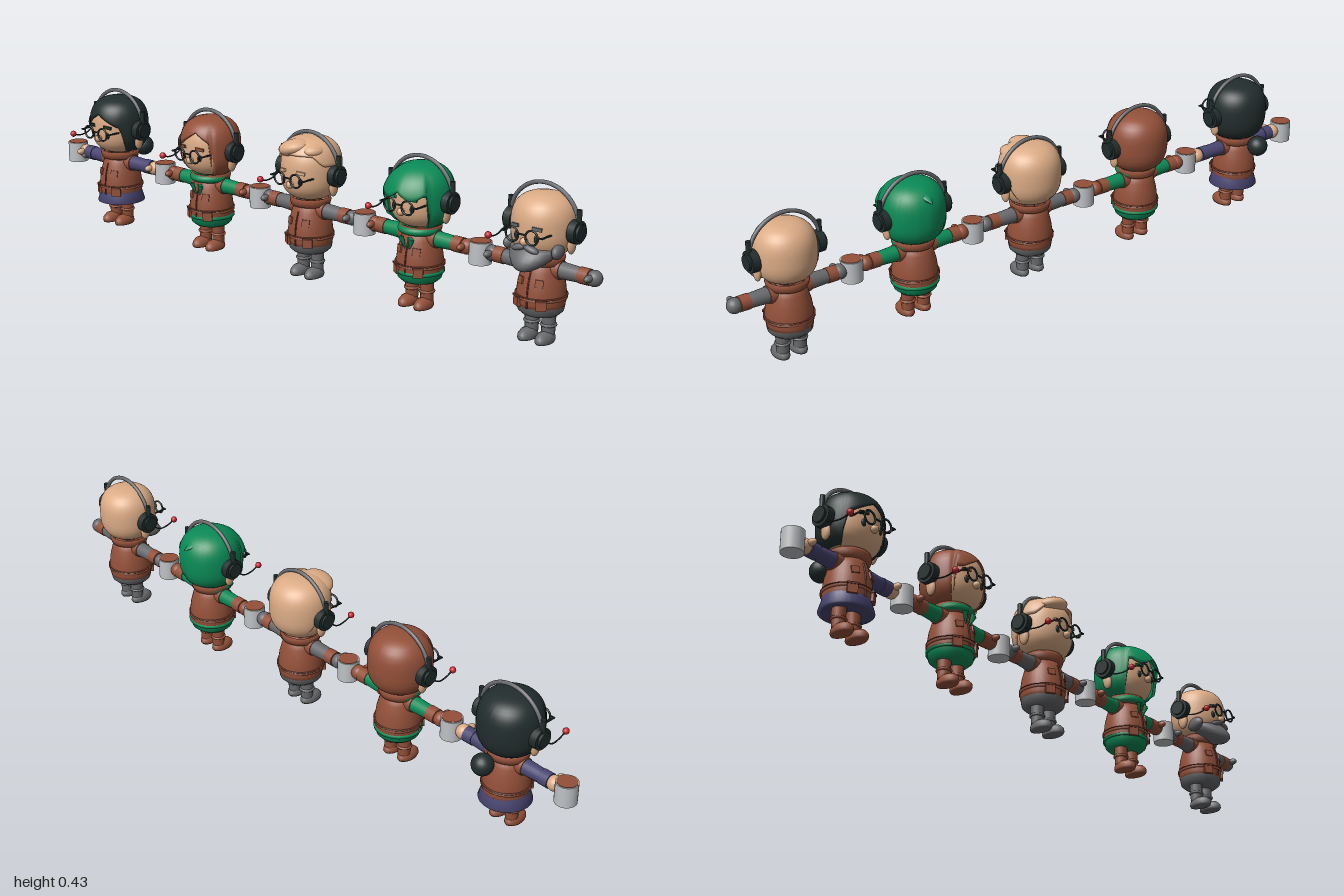
import * as THREE from 'three';

const mat = (name, color, side = THREE.FrontSide) => {
  const m = new THREE.MeshStandardMaterial({ color, side });
  m.name = name;
  return m;
};

// Head is a rounded barrel (superellipsoid) shared by the skull and the hair shells
const HEAD = { y: 0.316, r: 0.0865, h: 0.085, n: 2.7 };
const power = (v, p) => Math.sign(v) * Math.abs(v) ** p;

// Shell over the head; each meridian ends at the height given by edge(angle), angle 0 = front
function headShell(grow, edge, bulge = () => 0, lift = 0) {
  const cols = 64, rows = 18, pos = [], idx = [];
  const cy = HEAD.y + lift, H = HEAD.h + grow, p = 2 / HEAD.n;
  for (let j = 0; j <= rows; j++) {
    for (let i = 0; i <= cols; i++) {
      const a = (i / cols) * Math.PI * 2 - Math.PI;
      const d = THREE.MathUtils.clamp((edge(a) - cy) / H, -1, 1);
      const end = Math.acos(power(d, 1 / p));
      const t = Math.min(j, rows - 1) / (rows - 1);
      const f = end * t;
      const rim = j === rows ? grow + 0.004 : 0; // last row folds back to the skull
      const r = (HEAD.r + grow + bulge(a) * t * t - rim) * Math.abs(Math.sin(f)) ** p;
      pos.push(r * Math.sin(a), cy + H * power(Math.cos(f), p), r * Math.cos(a));
      if (i < cols && j < rows) {
        const k = j * (cols + 1) + i, l = k + cols + 1;
        idx.push(k, l, k + 1, k + 1, l, l + 1);
      }
    }
  }
  const g = new THREE.BufferGeometry();
  g.setAttribute('position', new THREE.Float32BufferAttribute(pos, 3));
  g.setIndex(idx);
  g.computeVertexNormals();
  return g;
}

const lathe = (pts, seg = 32) => new THREE.LatheGeometry(pts.map(([x, y]) => new THREE.Vector2(x, y)), seg);
const ball = (r) => new THREE.SphereGeometry(r, 20, 14);
const tube = (pts, r) => new THREE.TubeGeometry(
  new THREE.CatmullRomCurve3(pts.map((p) => new THREE.Vector3(...p))), 20, r, 8);

function rod(x0, x1, r0, r1) { // tapered cylinder along x
  const g = new THREE.CylinderGeometry(r1, r0, x1 - x0, 20);
  return g.rotateZ(-Math.PI / 2).translate((x0 + x1) / 2, 0, 0);
}

export function createModel() {
  const skin = mat('skin', 0xdcac86, THREE.DoubleSide);
  const dark = mat('charcoal', 0x222d2d, THREE.DoubleSide);
  const brown = mat('leather brown', 0x935039, THREE.DoubleSide);
  const green = mat('green', 0x0a8a56, THREE.DoubleSide);
  const purple = mat('purple', 0x4a4672, THREE.DoubleSide);
  const grey = mat('grey', 0x68696c, THREE.DoubleSide);
  const pale = mat('mug grey', 0xbfc2c5);
  const red = mat('red', 0xc8242e);
  const trim = mat('dark brown', 0x6a3527);

  const step = (a, lo, hi) => THREE.MathUtils.smoothstep(Math.abs(a), lo, hi);
  const figures = [
    { x: -0.772, hair: dark, shirt: purple, boots: brown, cuff: purple, glove: skin, skirt: true, bun: true,
      edge: (a) => 0.362 - 0.035 * Math.min(1, Math.abs(a) / 0.7) - 0.085 * step(a, 0.75, 1.15) },
    { x: -0.373, hair: brown, shirt: green, boots: brown, cuff: brown, glove: brown, scarf: true,
      edge: (a) => 0.372 - 0.04 * Math.min(1, Math.abs(a - 0.2) / 0.7) - 0.105 * step(a, 0.68, 0.85) },
    { x: 0.024, hair: skin, shirt: grey, boots: grey, cuff: brown, glove: grey, quiff: true,
      edge: (a) => 0.372 - 0.03 * step(a, 0.7, 1.2) - 0.08 * step(a, 1.5, 2.2) },
    { x: 0.422, hair: green, shirt: green, boots: brown, cuff: brown, glove: brown, scarf: true, spike: true,
      edge: (a) => 0.345 - 0.02 * Math.abs(Math.sin(a * 4)) - 0.1 * step(a, 0.75, 0.95),
      bulge: (a) => 0.014 * Math.max(0, Math.cos(a)) + 0.004 },
    { x: 0.82, shirt: grey, boots: grey, cuff: brown, glove: grey, beard: true },
  ];

  const model = new THREE.Group();
  model.name = 'crew';

  for (const f of figures) {
    const g = new THREE.Group();
    g.name = 'figure';
    g.position.set(f.x, 0, 0.012);
    model.add(g);
    const add = (name, geo, m, x = 0, y = 0, z = 0, s = [1, 1, 1]) => {
      const mesh = new THREE.Mesh(geo, m);
      mesh.name = name;
      mesh.position.set(x, y, z);
      mesh.scale.set(...s);
      g.add(mesh);
      return mesh;
    };

    // Legs and boots
    for (const s of [-1, 1]) {
      add('leg', new THREE.CylinderGeometry(0.02, 0.018, 0.07, 20), f.boots, s * 0.026, 0.055, 0);
      add('boot', lathe([[0, 0], [0.02, 0], [0.022, 0.006], [0.021, 0.016], [0.015, 0.026], [0, 0.031]], 24),
        f.boots, s * 0.027, 0, 0.015, [1, 1, 1.7]);
      add('bootCuff', new THREE.TorusGeometry(0.019, 0.004, 8, 24).rotateX(Math.PI / 2), f.boots, s * 0.026, 0.046, 0);
    }

    // Shirt hem or skirt below the vest
    add(f.skirt ? 'skirt' : 'shirtHem', lathe(f.skirt
      ? [[0, 0.082], [0.064, 0.072], [0.074, 0.073], [0.066, 0.1], [0.06, 0.13]]
      : [[0, 0.074], [0.05, 0.074], [0.061, 0.084], [0.064, 0.1]]), f.shirt);

    // Vest with hem band, zip, pockets and collar
    add('vest', lathe([[0.056, 0.098], [0.063, 0.096], [0.067, 0.11], [0.067, 0.135], [0.063, 0.165],
      [0.055, 0.195], [0.047, 0.215], [0.03, 0.225]]), brown, 0, 0, 0, [0.97, 1, 1]);
    add('hemBand', lathe([[0.066, 0.119], [0.0695, 0.12], [0.0695, 0.126], [0.066, 0.128]]), brown);
    add('hemSeam', lathe([[0.067, 0.126], [0.0698, 0.127], [0.0698, 0.129], [0.066, 0.13]]), trim);
    add('collar', lathe([[0.045, 0.21], [0.056, 0.214], [0.06, 0.228], [0.057, 0.238], [0.05, 0.232]]), brown);
    if (f.scarf) add('shirtStripe', lathe([[0.064, 0.1], [0.0685, 0.1], [0.0695, 0.107], [0.066, 0.109]]), f.shirt);
    add('zip', tube([[0, 0.1, 0.066], [0, 0.13, 0.067], [0, 0.165, 0.063], [0, 0.2, 0.053]], 0.0025), trim);
    for (const s of [-1, 1]) {
      const pocket = add('pocket', new THREE.BoxGeometry(0.028, 0.026, 0.01), brown, s * 0.037, 0.112, 0.056);
      pocket.rotation.y = s * 0.58;
      const flap = add('pocketFlap', new THREE.BoxGeometry(0.03, 0.006, 0.012), trim, s * 0.037, 0.126, 0.057);
      flap.rotation.y = s * 0.58;
      const chest = add('chestPocket', new THREE.BoxGeometry(0.022, 0.02, 0.007), brown, s * 0.028, 0.17, 0.054);
      chest.rotation.set(-0.2, s * 0.5, 0);
    }
    if (f.scarf) {
      add('scarf', new THREE.TorusGeometry(0.05, 0.011, 10, 28).rotateX(Math.PI / 2), green, 0, 0.224, 0.004);
      for (const s of [-1, 1]) {
        const end = add('scarfEnd', new THREE.ConeGeometry(0.012, 0.045, 4), green, s * 0.011, 0.188, 0.061, [1, 1, 0.5]);
        end.rotation.set(Math.PI + 0.2, 0, s * 0.3);
      }
    }

    // Outstretched arms and mitten hands
    for (const s of [-1, 1]) {
      const arm = new THREE.Group();
      arm.name = 'arm';
      arm.position.y = 0.201;
      arm.rotation.y = s < 0 ? Math.PI : 0;
      const part = (name, geo, m) => {
        const mesh = new THREE.Mesh(geo, m);
        mesh.name = name;
        arm.add(mesh);
        return mesh;
      };
      part('sleeve', rod(0.035, 0.12, 0.024, 0.02), f.shirt);
      part('armhole', rod(0.04, 0.062, 0.027, 0.025), brown);
      part('cuff', rod(0.116, 0.146, 0.022, 0.022), f.cuff);
      part('hand', ball(0.022), f.glove).position.x = 0.158;
      const thumb = part('thumb', ball(0.011), f.glove);
      thumb.position.set(0.155, 0.004, s * 0.024);
      thumb.scale.set(0.9, 0.9, 1.5);
      g.add(arm);
    }

    // Mug held in the right hand
    add('mug', new THREE.CylinderGeometry(0.031, 0.031, 0.062, 28), pale, -0.197, 0.196, 0);
    add('drink', new THREE.CylinderGeometry(0.028, 0.028, 0.003, 28), brown, -0.197, 0.227, 0);
    add('mugHandle', new THREE.TorusGeometry(0.017, 0.004, 8, 20), pale, -0.17, 0.196, 0);

    // Head and face
    add('head', headShell(0, () => 0.2), skin);
    add('nose', ball(0.011), skin, 0, 0.287, 0.089);
    for (const s of [-1, 1]) {
      add('eye', ball(0.009), dark, s * 0.03, 0.297, 0.079, [0.8, 1.25, 0.5]);
      add('ear', ball(0.02), skin, s * 0.086, 0.278, 0, [0.5, 1.4, 0.8]);
      const brow = add('eyebrow', new THREE.BoxGeometry(0.026, 0.009, 0.012), f.beard ? grey : f.hair, s * 0.032, 0.324, 0.079);
      brow.rotation.set(0, s * 0.35, -s * 0.12);

      // Glasses
      add('glassesRim', new THREE.TorusGeometry(0.019, 0.0028, 8, 28), dark, s * 0.03, 0.305, 0.1);
      add('glassesTemple', new THREE.BoxGeometry(0.004, 0.004, 0.075), dark, s * 0.061, 0.309, 0.064);
      add('glassesHinge', new THREE.BoxGeometry(0.015, 0.004, 0.004), dark, s * 0.056, 0.309, 0.1);

      // Headphone cups
      add('earCup', rod(-0.011, 0.011, 0.031, 0.031), dark, s * 0.098, 0.312, 0);
      add('earCupCap', rod(-0.004, 0.004, 0.022, 0.022), dark, s * 0.112, 0.312, 0);
      add('bandSlider', new THREE.CylinderGeometry(0.007, 0.007, 0.04, 12), dark, s * 0.105, 0.352, 0);
    }
    add('glassesBridge', new THREE.BoxGeometry(0.022, 0.004, 0.004), dark, 0, 0.309, 0.1);
    add('headband', new THREE.TorusGeometry(0.106, 0.0058, 10, 48, Math.PI), grey, 0, 0.319, 0);
    add('micBoom', tube([[-0.104, 0.3, 0.01], [-0.108, 0.28, 0.04], [-0.104, 0.278, 0.075], [-0.102, 0.286, 0.1]], 0.0022), dark);
    add('micTip', ball(0.0095), red, -0.102, 0.287, 0.102);

    // Hair
    if (f.edge) add('hair', headShell(0.005, f.edge, f.bulge, f.quiff ? 0.008 : 0.002), f.hair);
    if (f.bun) add('hairBun', ball(0.031), dark, 0, 0.228, -0.103);
    if (f.quiff) {
      const q = add('quiff', ball(0.05), skin, -0.018, 0.385, 0.045, [1, 0.5, 0.95]);
      q.rotation.z = 0.25;
      add('quiffSide', ball(0.04), skin, 0.04, 0.383, 0.03, [0.8, 0.5, 1]);
    }
    if (f.spike) {
      const tip = add('hairSpike', new THREE.ConeGeometry(0.035, 0.07, 12), green, 0, 0.379, -0.068, [1, 1, 0.5]);
      tip.rotation.x = -Math.PI / 2 - 0.25;
    }

    // Beard wrapping the jaw, with moustache
    if (f.beard) {
      const beard = new THREE.SphereGeometry(0.07, 28, 18);
      const p = beard.attributes.position;
      for (let i = 0; i < p.count; i++) { // narrow to a forward-pointing chin, flat top
        const y = p.getY(i) / 0.07, low = Math.max(0, -y);
        p.setXYZ(i, p.getX(i) * (1 - 0.3 * low), y > 0 ? y * 0.016 : y * 0.052, p.getZ(i) * 0.85 + 0.05 * low);
      }
      beard.computeVertexNormals();
      add('beard', beard, grey, 0, 0.258, 0.033);
      for (const s of [-1, 1]) {
        const m = add('moustache', ball(0.02), grey, s * 0.017, 0.269, 0.083, [1.2, 0.45, 0.6]);
        m.rotation.z = -s * 0.3;
        const side = add('sideburn', ball(0.03), grey, s * 0.068, 0.262, 0.035, [0.5, 0.7, 1.1]);
        side.rotation.y = s * 0.3;
      }
    }
  }
  return model;
}
